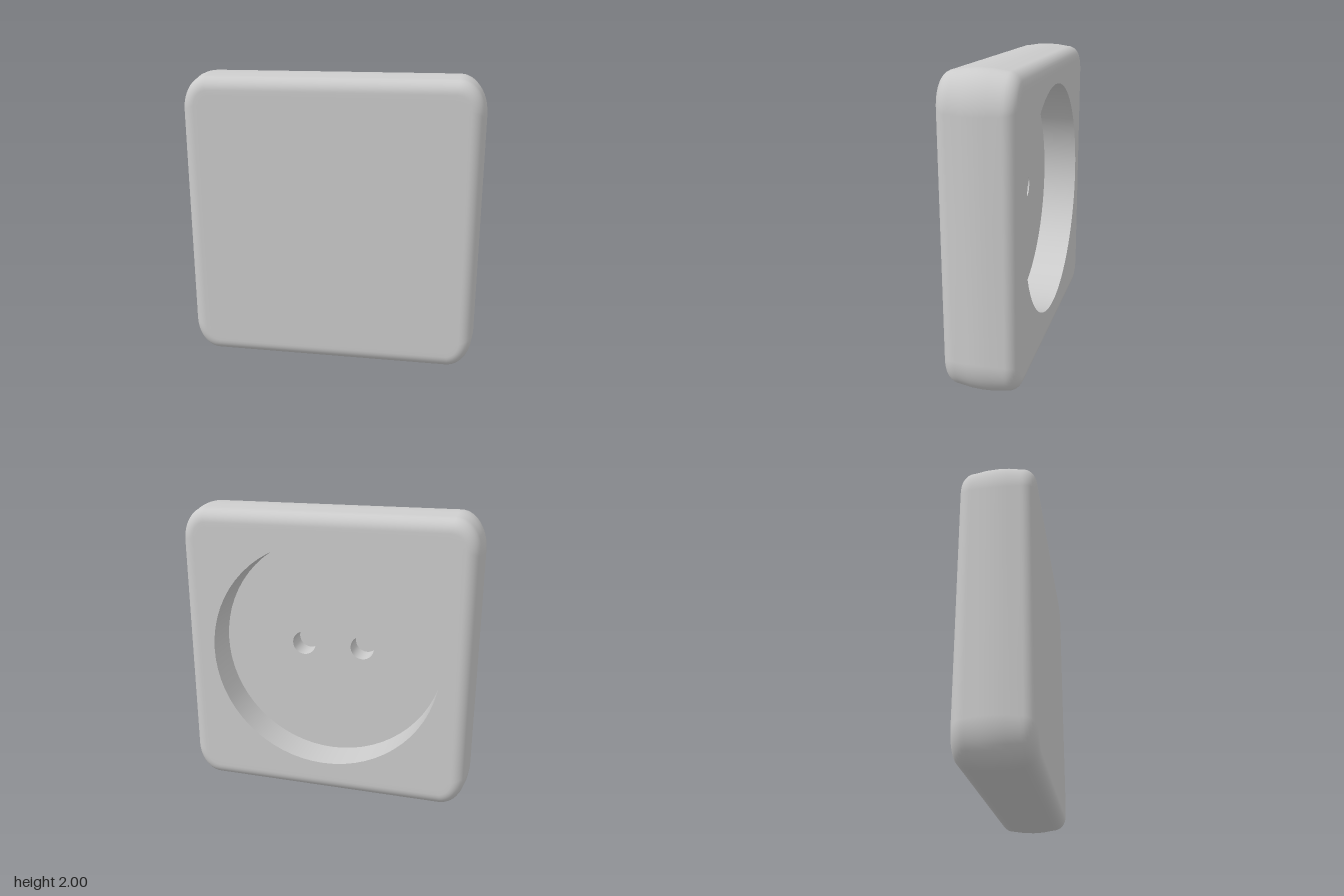
import * as THREE from 'three';

const HALF_DEPTH = 0.24;
const RECESS = { r: 0.785, y: 0.02, floorZ: 0.01 };
const PIN = { r: 0.083, x: 0.21, y: 0.03, depth: 0.16 };

// Rounded square outline, corners a little taller than wide, shrunk by inset
function outlinePoints(inset, steps = 12) {
  const h = 1 - inset;
  const rx = Math.max(0.18 - inset * 0.8, 0.03);
  const ry = Math.max(0.25 - inset * 1.4, 0.03);
  const pts = [];
  [[1, 1], [-1, 1], [-1, -1], [1, -1]].forEach(([sx, sy], k) => {
    for (let i = 0; i <= steps; i++) {
      const a = (k + i / steps) * Math.PI / 2;
      pts.push(new THREE.Vector2(sx * (h - rx) + rx * Math.cos(a), sy * (h - ry) + ry * Math.sin(a)));
    }
  });
  return pts;
}

// Edge profile from back to front as [inset, z]
function edgeProfile() {
  const r = 0.09, bow = 0.015, pts = [[0.14, -HALF_DEPTH]];
  for (let i = 0; i <= 8; i++) {
    const a = i / 8 * Math.PI / 2;
    pts.push([bow + r * (1 - Math.sin(a)), -HALF_DEPTH + r * (1 - Math.cos(a))]);
  }
  pts.push([0.003, -0.07], [0, 0]);
  const mirrored = pts.slice(0, -1).reverse().map(([s, z]) => [s, -z]);
  return pts.concat(mirrored);
}

// Skin joining one outline loop per profile point
function rimGeometry() {
  const pos = [], idx = [], profile = edgeProfile();
  let n = 0;
  for (const [inset, z] of profile) {
    const loop = outlinePoints(inset);
    n = loop.length;
    loop.forEach(p => pos.push(p.x, p.y, z));
  }
  for (let j = 0; j < profile.length - 1; j++) {
    for (let i = 0; i < n; i++) {
      const a = j * n + i, b = j * n + (i + 1) % n;
      idx.push(a, b, b + n, a, b + n, a + n);
    }
  }
  const g = new THREE.BufferGeometry();
  g.setAttribute('position', new THREE.Float32BufferAttribute(pos, 3));
  g.setIndex(idx);
  g.computeVertexNormals();
  return g;
}

function circle(Kind, x, y, r) {
  return new Kind().absarc(x, y, r, 0, Math.PI * 2, false);
}

export function createModel() {
  const model = new THREE.Group();
  model.name = 'wallSocket';
  const body = new THREE.Group();
  body.name = 'socketBody';
  body.position.y = 1;
  model.add(body);

  const mat = new THREE.MeshStandardMaterial({ color: 0xcccccc });
  const openMat = new THREE.MeshStandardMaterial({ color: 0xcccccc, side: THREE.DoubleSide });

  const add = (name, geometry, material = mat) => {
    const mesh = new THREE.Mesh(geometry, material);
    mesh.name = name;
    body.add(mesh);
    return mesh;
  };
  // Flat panel looking towards the back
  const addBackPanel = (name, shape, z) => {
    const mesh = add(name, new THREE.ShapeGeometry(shape, 32));
    mesh.rotation.y = Math.PI;
    mesh.position.z = z;
  };
  // Open round wall between two depths
  const addWall = (name, x, y, r, z0, z1) => {
    const g = new THREE.CylinderGeometry(r, r, z1 - z0, 64, 1, true).rotateX(Math.PI / 2);
    add(name, g, openMat).position.set(x, y, (z0 + z1) / 2);
  };

  // Outer casing
  add('roundedRim', rimGeometry());
  add('frontPanel', new THREE.ShapeGeometry(new THREE.Shape(outlinePoints(0.14)))).position.z = HALF_DEPTH;

  // Back panel with the round plug recess
  const back = new THREE.Shape(outlinePoints(0.14));
  back.holes.push(circle(THREE.Path, 0, RECESS.y, RECESS.r));
  addBackPanel('backPanel', back, -HALF_DEPTH);
  addWall('recessWall', 0, RECESS.y, RECESS.r, -HALF_DEPTH, RECESS.floorZ);

  // Recess floor with two pin holes
  const floor = circle(THREE.Shape, 0, RECESS.y, RECESS.r);
  for (const side of [-1, 1]) {
    const x = side * PIN.x, endZ = RECESS.floorZ + PIN.depth;
    floor.holes.push(circle(THREE.Path, x, PIN.y, PIN.r));
    addWall('pinHoleWall', x, PIN.y, PIN.r, RECESS.floorZ, endZ);
    addBackPanel('pinHoleEnd', circle(THREE.Shape, x, PIN.y, PIN.r), endZ);
  }
  addBackPanel('recessFloor', floor, RECESS.floorZ);

  return model;
}
